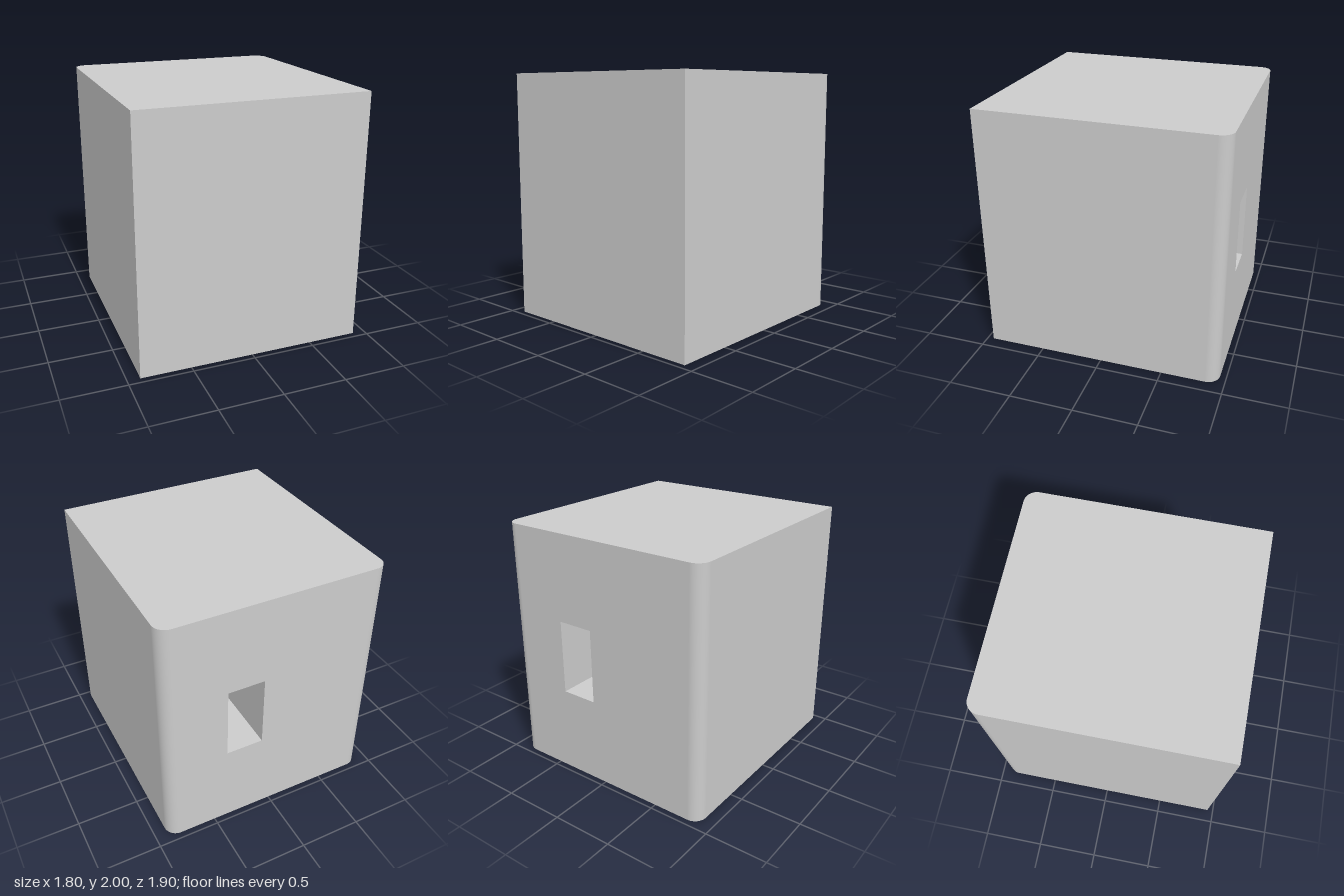
import * as THREE from 'three';
import { mergeGeometries } from 'three/addons/utils/BufferGeometryUtils.js';

const W = 0.9, D = 0.95, H = 2, R = 0.1; // half width, half depth, height, rear corner radius
const slot = { x0: 0.09, x1: 0.39, y0: 0.7, y1: 1.3, depth: 1 };

// Footprint with the two rear corners rounded (shape y = -z)
function footprint() {
  const s = new THREE.Shape();
  s.moveTo(-W, -D);
  s.lineTo(W, -D);
  s.lineTo(W, D - R);
  s.absarc(W - R, D - R, R, 0, Math.PI / 2, false);
  s.absarc(-W + R, D - R, R, Math.PI / 2, Math.PI, false);
  s.closePath();
  return new THREE.ShapeGeometry(s, 12);
}

// Rear wall with the rectangular opening
function rearWall() {
  const s = new THREE.Shape([
    [-W + R, 0], [W - R, 0], [W - R, H], [-W + R, H],
  ].map(([x, y]) => new THREE.Vector2(x, y)));
  s.holes.push(new THREE.Path([
    [-slot.x1, slot.y0], [-slot.x1, slot.y1], [-slot.x0, slot.y1], [-slot.x0, slot.y0],
  ].map(([x, y]) => new THREE.Vector2(x, y))));
  return new THREE.ShapeGeometry(s).rotateY(Math.PI).translate(0, 0, -D);
}

// Pocket lining: an inward-facing box without its rear face
function slotLining() {
  const g = new THREE.BoxGeometry(slot.x1 - slot.x0, slot.y1 - slot.y0, slot.depth);
  g.setIndex(Array.from(g.index.array).slice(0, 30).reverse());
  g.clearGroups();
  g.computeVertexNormals();
  return g.translate((slot.x0 + slot.x1) / 2, (slot.y0 + slot.y1) / 2, -D + slot.depth / 2);
}

export function createModel() {
  const group = new THREE.Group();
  group.name = 'slottedBlock';
  const material = new THREE.MeshStandardMaterial({ color: 0xcccccc });
  const add = (name, geometry) => {
    const mesh = new THREE.Mesh(geometry, material);
    mesh.name = name;
    group.add(mesh);
  };

  // Outer block: top, bottom, front and rear
  const parts = [
    footprint().rotateX(-Math.PI / 2).translate(0, H, 0),
    footprint().rotateX(Math.PI / 2).rotateY(Math.PI),
    new THREE.PlaneGeometry(2 * W, H).translate(0, H / 2, D),
    rearWall(),
  ];
  // Side walls and rounded rear corners
  for (const side of [1, -1]) {
    parts.push(new THREE.PlaneGeometry(2 * D - R, H)
      .rotateY(side * Math.PI / 2).translate(side * W, H / 2, R / 2));
    parts.push(new THREE.CylinderGeometry(R, R, H, 12, 1, true, side > 0 ? Math.PI / 2 : Math.PI, Math.PI / 2)
      .translate(side * (W - R), H / 2, -D + R));
  }
  parts.forEach((g) => g.clearGroups());
  add('body', mergeGeometries(parts));
  add('rearSlot', slotLining());
  return group;
}
